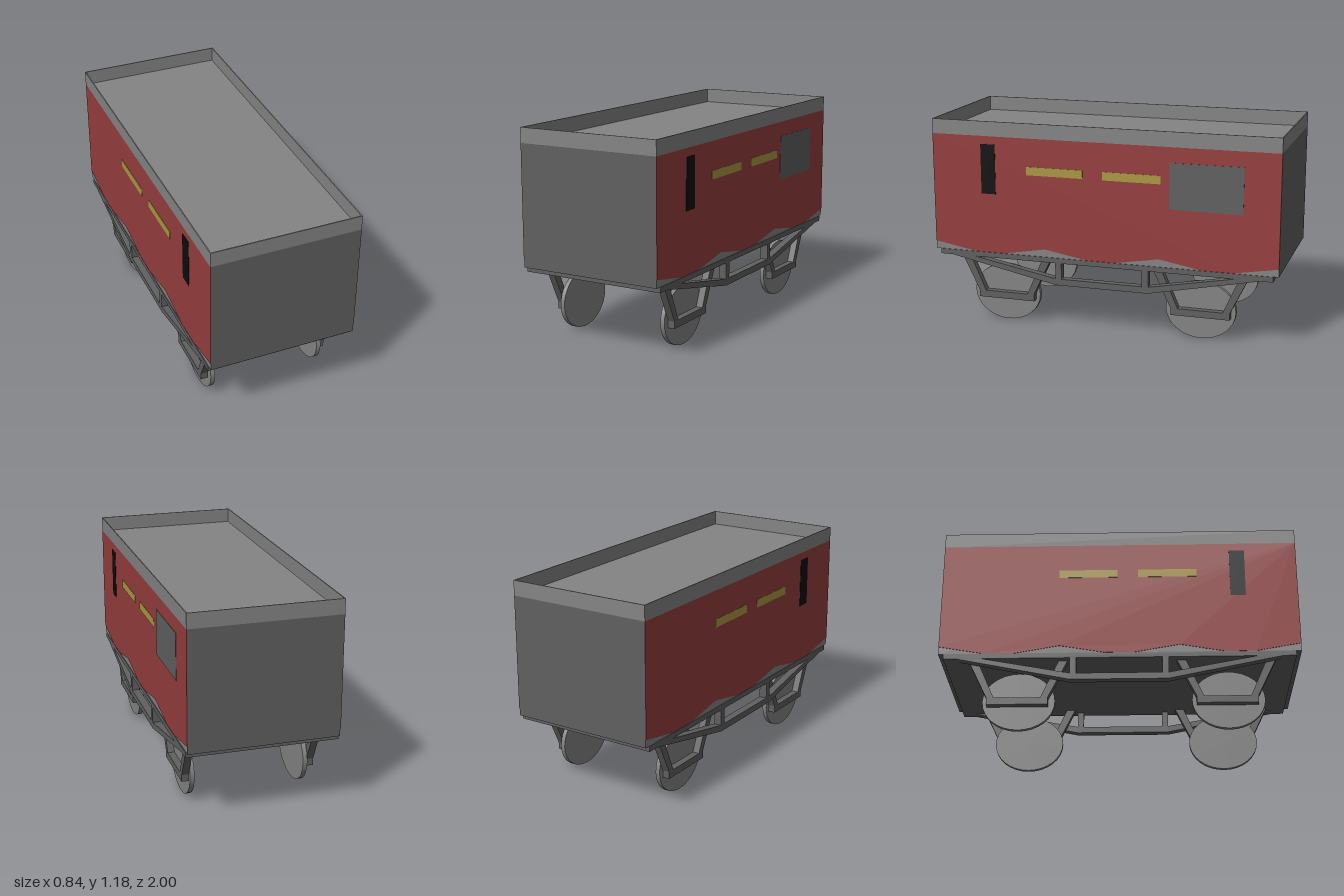
import * as THREE from 'three';

const mat = (name, color) => {
  const m = new THREE.MeshStandardMaterial({ color });
  m.name = name;
  return m;
};

export function createModel() {
  const lightGrey = mat('lightGrey', 0x848484);
  const darkGrey = mat('darkGrey', 0x606060);
  const red = mat('red', 0x963d3d);
  const yellow = mat('yellow', 0xab9841);
  const black = mat('black', 0x0d0d0d);

  const wagon = new THREE.Group();
  wagon.name = 'wagon';

  const add = (name, geometry, material) => {
    const mesh = new THREE.Mesh(geometry, material);
    mesh.name = name;
    wagon.add(mesh);
    return mesh;
  };

  // Box given by its limits on each axis
  const box = (name, material, x0, x1, y0, y1, z0, z1) => {
    const mesh = add(name, new THREE.BoxGeometry(x1 - x0, y1 - y0, z1 - z0), material);
    mesh.position.set((x0 + x1) / 2, (y0 + y1) / 2, (z0 + z1) / 2);
    return mesh;
  };

  // Side profile of [z, y] points, extruded across x from x0 to x1
  const profile = (name, material, points, x0, x1) => {
    const shape = new THREE.Shape(points.map(([z, y]) => new THREE.Vector2(-z, y)));
    const g = new THREE.ExtrudeGeometry(shape, { depth: x1 - x0, bevelEnabled: false });
    g.rotateY(Math.PI / 2).translate(x0, 0, 0);
    return add(name, g, material);
  };

  // Body: light sides and roof, dark ends and underside
  box('body', [lightGrey, lightGrey, lightGrey, darkGrey, darkGrey, darkGrey],
    -0.416, 0.416, 0.42, 1.096, -1, 1);
  box('floor', darkGrey, -0.42, 0.42, 0.39, 0.42, -0.97, 0.97);

  // Raised rim round the sunken roof
  for (const s of [-1, 1]) {
    const side = box('roofRimSide', lightGrey, 0.413, 0.419, 1.096, 1.18, -1, 1);
    side.position.x *= s;
    const end = box('roofRimEnd', lightGrey, -0.413, 0.413, 1.096, 1.18, 0.994, 1);
    end.position.z *= s;
  }

  // Red side sheet with a worn, wavy lower edge
  const sheet = [
    [1, 1.096], [1, 0.465], [0.75, 0.421], [0.58, 0.421], [0.333, 0.465],
    [0.08, 0.421], [-0.08, 0.421], [-0.333, 0.465], [-0.58, 0.421],
    [-0.75, 0.421], [-1, 0.465], [-1, 1.096],
  ];
  // Bowed tie bar under the floor
  const truss = [
    [0.90, 0.39], [0.757, 0.39], [0.27, 0.298], [-0.27, 0.298], [-0.757, 0.39],
    [-0.90, 0.39], [-0.27, 0.261], [0.27, 0.261],
  ];
  // U-shaped wheel guard, relative to its middle
  const guard = [
    [-0.272, 0.39], [-0.168, 0.175], [-0.168, 0.135], [0.168, 0.135], [0.168, 0.175],
    [0.272, 0.39], [0.222, 0.39], [0.128, 0.175], [-0.128, 0.175], [-0.222, 0.39],
  ];

  for (const s of [-1, 1]) {
    const across = (a, b) => (s > 0 ? [a, b] : [-b, -a]);
    const [p0, p1] = across(0.416, 0.419);
    const [d0, d1] = across(0.417, 0.421);
    profile('redSide', red, sheet, p0, p1);

    // Painted plates
    box('blackSlot', black, d0, d1, 0.765, 1.05, 0.622, 0.708);
    box('yellowStripe', yellow, d0, d1, 0.888, 0.935, 0.105, 0.435);
    box('yellowStripe', yellow, d0, d1, 0.888, 0.935, -0.34, -0.01);
    if (s > 0) box('greyPanel', darkGrey, d0, d1, 0.75, 1.01, -0.80, -0.39);

    // Tie bar and its posts
    const [t0, t1] = across(0.375, 0.42);
    profile('tieBar', darkGrey, truss, t0, t1);
    for (const z of [-0.255, 0.253])
      box('tiePost', darkGrey, t0, t1, 0.29, 0.39, z - 0.018, z + 0.018);

    // Wheel guards and oval wheels
    const [g0, g1] = across(0.336, 0.376);
    for (const [guardZ, wheelZ] of [[0.588, 0.595], [-0.56, -0.555]]) {
      profile('wheelGuard', darkGrey, guard.map(([z, y]) => [z + guardZ, y]), g0, g1);
      const g = new THREE.CylinderGeometry(1, 1, 0.025, 32);
      g.rotateZ(Math.PI / 2).scale(1, 0.166, 0.2);
      add('wheel', g, lightGrey).position.set(s * 0.322 + 0.0025, 0.168, wheelZ);
    }
  }
  return wagon;
}
